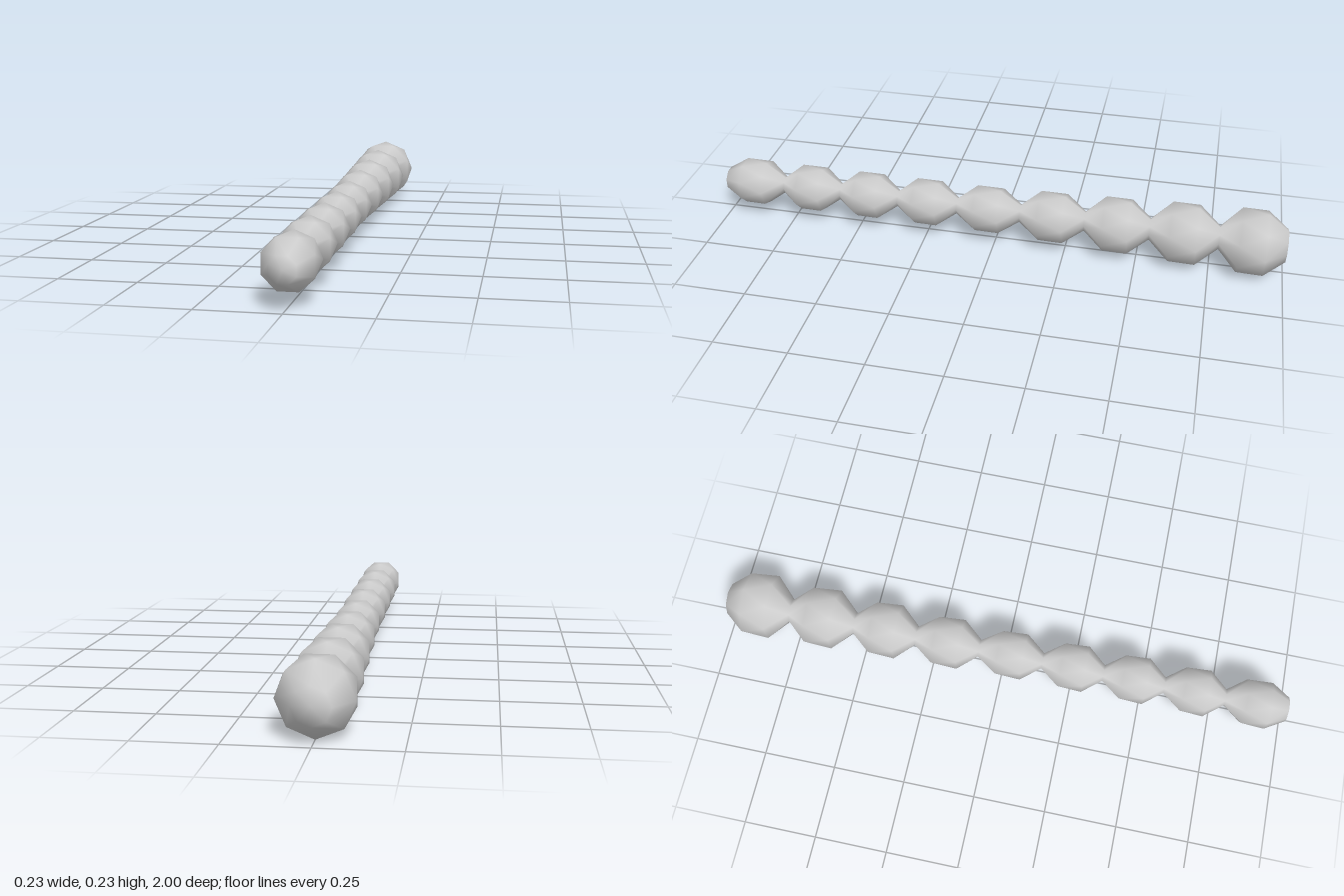
import * as THREE from 'three';

const SIDES = 8;
const HALF_STEP = Math.PI / SIDES;

// Skin a list of rings { z, r, turn } along z, closing both ends.
function skinRings(rings) {
  const pos = [], index = [];
  const axisY = (z) => 0.115 + 0.003 * z;
  rings.forEach(({ z, r, turn }) => {
    for (let j = 0; j < SIDES; j++) {
      const a = j * 2 * HALF_STEP + turn * HALF_STEP;
      pos.push(Math.cos(a) * r, axisY(z) + Math.sin(a) * r, z);
    }
  });
  for (let i = 0; i < rings.length - 1; i++) {
    // a ring turned back by half a step needs the opposite diagonal
    const back = rings[i + 1].turn < rings[i].turn;
    for (let j = 0; j < SIDES; j++) {
      const k = (j + 1) % SIDES;
      const a = i * SIDES + j, b = i * SIDES + k, c = a + SIDES, d = b + SIDES;
      if (back) index.push(a, b, d, a, d, c);
      else index.push(a, b, c, b, d, c);
    }
  }
  const tail = pos.length / 3, nose = tail + 1, last = (rings.length - 1) * SIDES;
  const z0 = rings[0].z, z1 = rings[rings.length - 1].z;
  pos.push(0, axisY(z0), z0, 0, axisY(z1), z1);
  for (let j = 0; j < SIDES; j++) {
    const k = (j + 1) % SIDES;
    index.push(k, j, tail, last + j, last + k, nose);
  }
  const geo = new THREE.BufferGeometry();
  geo.setAttribute('position', new THREE.Float32BufferAttribute(pos, 3));
  geo.setIndex(index);
  geo.computeVertexNormals();
  return geo;
}

export function createModel() {
  const group = new THREE.Group();
  group.name = 'beadedRod';

  // Necks between beads, and the radius of each bead from back to front
  const necks = [-1, -0.775, -0.54, -0.315, -0.087, 0.14, 0.357, 0.572, 0.785, 1];
  const radii = [0.113, 0.105, 0.096, 0.088, 0.081, 0.081, 0.081, 0.081, 0.081];

  const rings = [{ z: necks[0], r: 0.057, turn: 0 }];
  radii.forEach((r, i) => {
    const z0 = necks[i], len = necks[i + 1] - z0;
    // two wide rings, the second turned half a step for a faceted bead
    rings.push({ z: z0 + len * 0.31, r, turn: 0 });
    rings.push({ z: z0 + len * 0.7, r, turn: 1 });
    const end = i === radii.length - 1;
    rings.push({ z: necks[i + 1], r: end ? 0.042 : r * 0.36, turn: end ? 1 : 0 });
  });

  const mesh = new THREE.Mesh(
    skinRings(rings),
    new THREE.MeshStandardMaterial({ color: 0xcccccc })
  );
  mesh.name = 'beadChain';
  group.add(mesh);
  return group;
}
